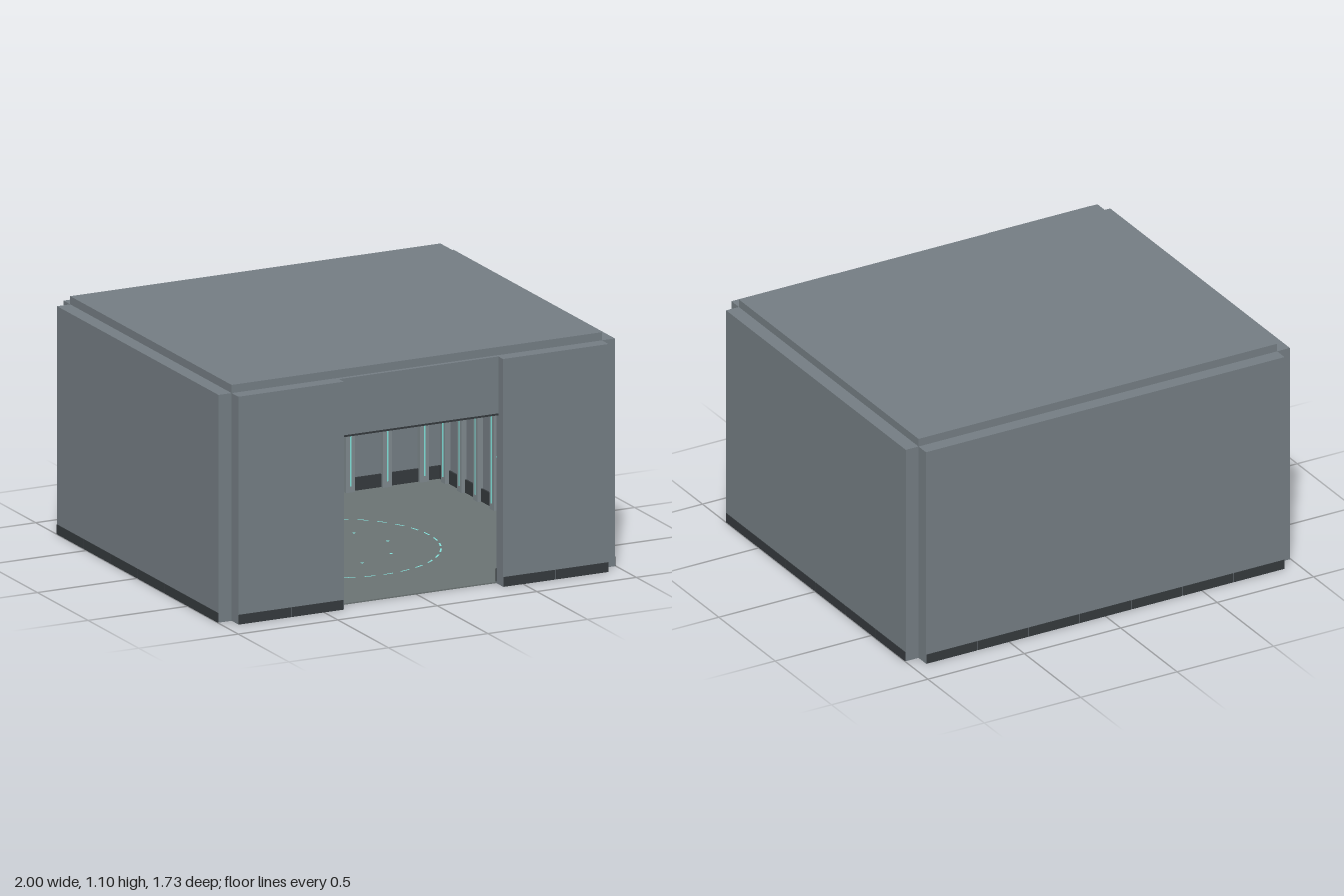
import * as THREE from 'three';

const mat = (color) => new THREE.MeshStandardMaterial({ color });
const M = {
  wall: mat(0x737c82), floor: mat(0x6a7272), dark: mat(0x34393c),
  rib: mat(0x7d878c), light: mat(0x7fe0d8),
};

// Box given by its min and max corners
function box(parent, name, material, x0, x1, y0, y1, z0, z1) {
  const mesh = new THREE.Mesh(new THREE.BoxGeometry(x1 - x0, y1 - y0, z1 - z0), material);
  mesh.position.set((x0 + x1) / 2, (y0 + y1) / 2, (z0 + z1) / 2);
  mesh.name = name;
  parent.add(mesh);
  return mesh;
}

const H = 1.062, T = 0.066, HX = 0.93, HZ = 0.797, FLOOR = 0.006;

// Wall run along local x from a to b: inner face at z = 0, outside towards -z
function wallRun(name, a, b, segments, ribs) {
  const g = new THREE.Group();
  g.name = name;
  box(g, 'wallPanel', M.wall, a, b, 0, H, -T, 0);
  // Outer skirting in separate lengths
  const step = (b - a) / segments;
  for (let i = 0; i < segments; i++) {
    const s = a + i * step;
    box(g, 'outerSkirting', M.dark, s + 0.002, s + step - 0.002, 0, 0.045, -T - 0.003, -T);
  }
  // Inner skirting and the light line around the room
  box(g, 'innerSkirting', M.dark, a, b, FLOOR, 0.067, 0, 0.008);
  box(g, 'lightLine', M.light, a, b, 0.583, 0.59, 0, 0.006);
  // Ribs: lower half with a light strip, upper half plain and wider
  for (const x of ribs) {
    box(g, 'lowerRib', M.rib, x - 0.022, x + 0.022, FLOOR, 0.575, 0, 0.026);
    box(g, 'ribLight', M.light, x - 0.003, x + 0.003, 0.035, 0.54, 0.026, 0.029);
    box(g, 'upperRib', M.rib, x - 0.027, x + 0.027, 0.592, H, 0, 0.02);
  }
  return g;
}

export function createModel() {
  const room = new THREE.Group();
  room.name = 'room';

  // Floor and roof slabs
  box(room, 'floor', M.floor, -HX, HX, 0, FLOOR, -HZ, HZ);
  box(room, 'roof', M.wall, -HX, HX, H, 1.1, -HZ, HZ);

  // Back wall
  const xs = [], zs = [];
  for (let i = 0; i < 10; i++) {
    xs.push((i - 4.5) * 0.186);
    zs.push((i - 4.5) * 0.16);
  }
  const back = wallRun('backWall', -HX, HX, 7, xs);
  back.position.z = -HZ;
  room.add(back);

  for (const s of [-1, 1]) {
    // Side walls
    const side = wallRun(s > 0 ? 'leftWall' : 'rightWall', -HZ, HZ, 6, zs);
    side.rotation.y = -s * Math.PI / 2;
    side.position.x = s * HX;
    room.add(side);

    // Front walls either side of the doorway
    const inner = xs.filter((x) => x * s < -0.42);
    const front = wallRun(s > 0 ? 'frontLeftWall' : 'frontRightWall',
      s > 0 ? -HX : 0.4, s > 0 ? -0.4 : HX, 2, inner);
    front.rotation.y = Math.PI;
    front.position.z = HZ;
    room.add(front);
  }

  // Header over the doorway with a trim on its lower edge
  box(room, 'doorHeader', M.wall, -0.4, 0.4, 0.797, H, HZ - 0.02, 0.817);
  box(room, 'headerTrim', M.dark, -0.4, 0.4, 0.788, 0.797, HZ - 0.02, 0.817);

  // Dashed ring on the floor
  const ring = new THREE.Group();
  ring.name = 'floorRing';
  const dashes = 32, pitch = (Math.PI * 2) / dashes;
  for (let i = 0; i < dashes; i++) {
    const dash = new THREE.Mesh(
      new THREE.RingGeometry(0.466, 0.474, 4, 1, i * pitch, pitch * 0.55), M.light);
    dash.name = 'ringDash';
    ring.add(dash);
  }
  // Small marker dots inside the ring
  for (let i = 0; i < 8; i++) {
    const a = (i * Math.PI) / 4;
    const dot = new THREE.Mesh(new THREE.CircleGeometry(0.008, 12), M.light);
    dot.position.set(Math.cos(a) * 0.26, Math.sin(a) * 0.26, 0);
    dot.name = 'floorDot';
    ring.add(dot);
  }
  ring.rotation.x = -Math.PI / 2;
  ring.position.y = FLOOR + 0.002;
  room.add(ring);

  return room;
}
